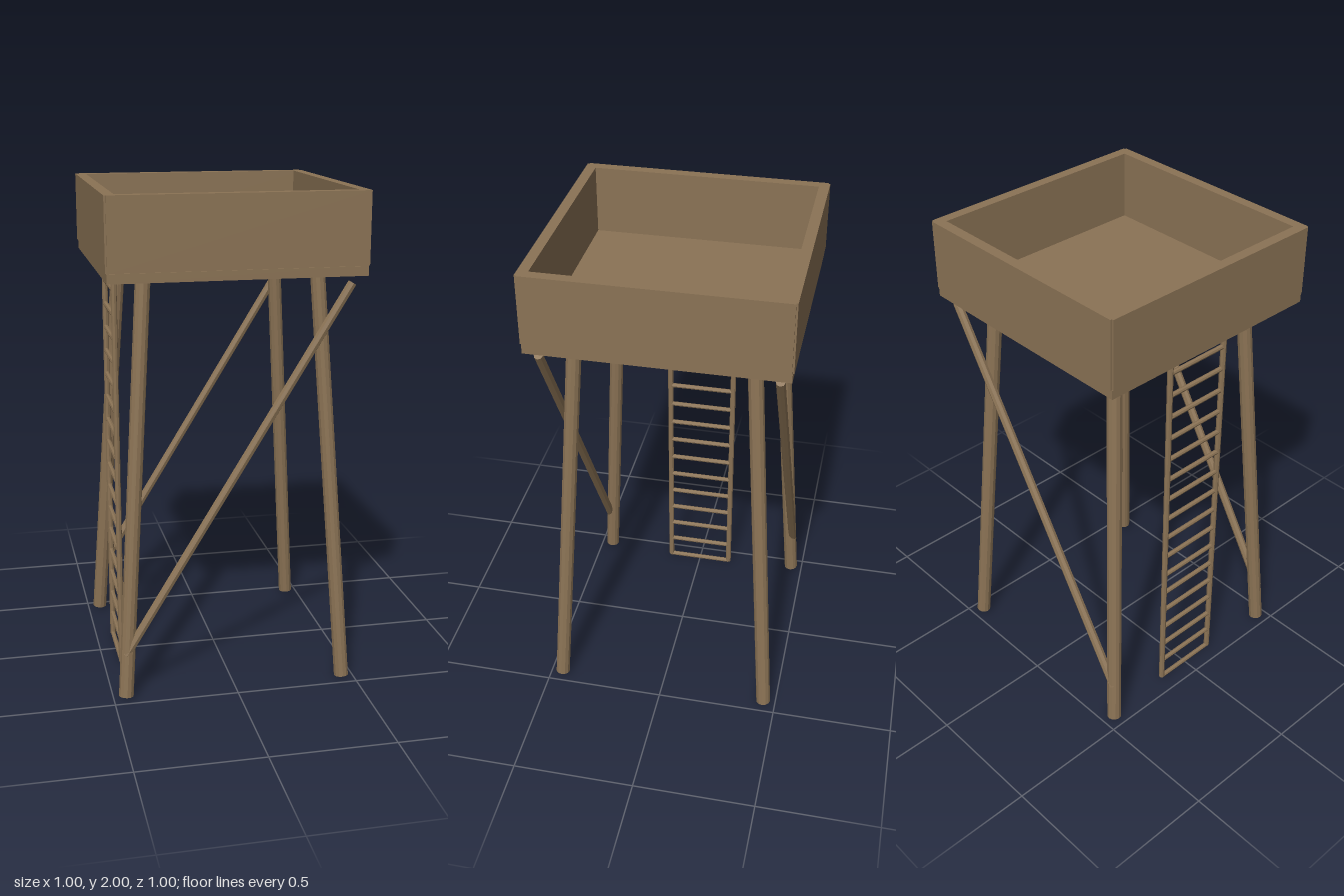
import * as THREE from 'three';

const wood = new THREE.MeshStandardMaterial({ color: 0x8b7355, flatShading: true });

export function createModel() {
  const tower = new THREE.Group();
  tower.name = 'watchtower';

  const box = (name, parent, w, h, d, x, y, z) => {
    const mesh = new THREE.Mesh(new THREE.BoxGeometry(w, h, d), wood);
    mesh.name = name;
    mesh.position.set(x, y, z);
    parent.add(mesh);
  };

  // round pole between two points
  const pole = (name, parent, radius, sides, from, to) => {
    const a = new THREE.Vector3(...from);
    const b = new THREE.Vector3(...to);
    const dir = b.clone().sub(a);
    const mesh = new THREE.Mesh(new THREE.CylinderGeometry(radius, radius, dir.length(), sides), wood);
    mesh.name = name;
    mesh.position.copy(a).add(b).multiplyScalar(0.5);
    mesh.quaternion.setFromUnitVectors(new THREE.Vector3(0, 1, 0), dir.normalize());
    parent.add(mesh);
  };

  // platform: floor with four parapet walls
  const platform = new THREE.Group();
  platform.name = 'platform';
  box('floor', platform, 0.99, 0.037, 0.99, 0, 1.7, 0);
  for (const s of [-1, 1]) {
    box(s > 0 ? 'frontWall' : 'backWall', platform, 0.986, 0.28, 0.042, 0, 1.86, s * 0.479);
    box(s > 0 ? 'leftWall' : 'rightWall', platform, 0.042, 0.28, 0.986, s * 0.479, 1.86, 0);
  }
  tower.add(platform);

  // four legs leaning inward
  for (const sx of [-1, 1]) {
    for (const sz of [-1, 1]) {
      const name = (sz > 0 ? 'front' : 'back') + (sx > 0 ? 'Left' : 'Right') + 'Leg';
      pole(name, tower, 0.03, 12, [sx * 0.449, 0.012, sz * 0.449], [sx * 0.339, 1.7, sz * 0.339]);
    }
  }

  // diagonal braces at front and back
  for (const s of [-1, 1]) {
    pole(s > 0 ? 'frontBrace' : 'backBrace', tower, 0.018, 8, [-0.445, 0.19, s * 0.449], [0.447, 1.65, s * 0.449]);
  }

  // ladder on the right side
  const ladder = new THREE.Group();
  ladder.name = 'ladder';
  ladder.position.x = -0.426;
  for (const z of [-0.142, 0.142]) {
    pole('ladderRail', ladder, 0.012, 8, [0, 0.01, z], [0, 1.7, z]);
  }
  for (let i = 0; i < 17; i++) {
    const y = 0.011 + i * 0.0992;
    pole('rung', ladder, 0.01, 8, [0, y, -0.142], [0, y, 0.142]);
  }
  tower.add(ladder);

  return tower;
}
